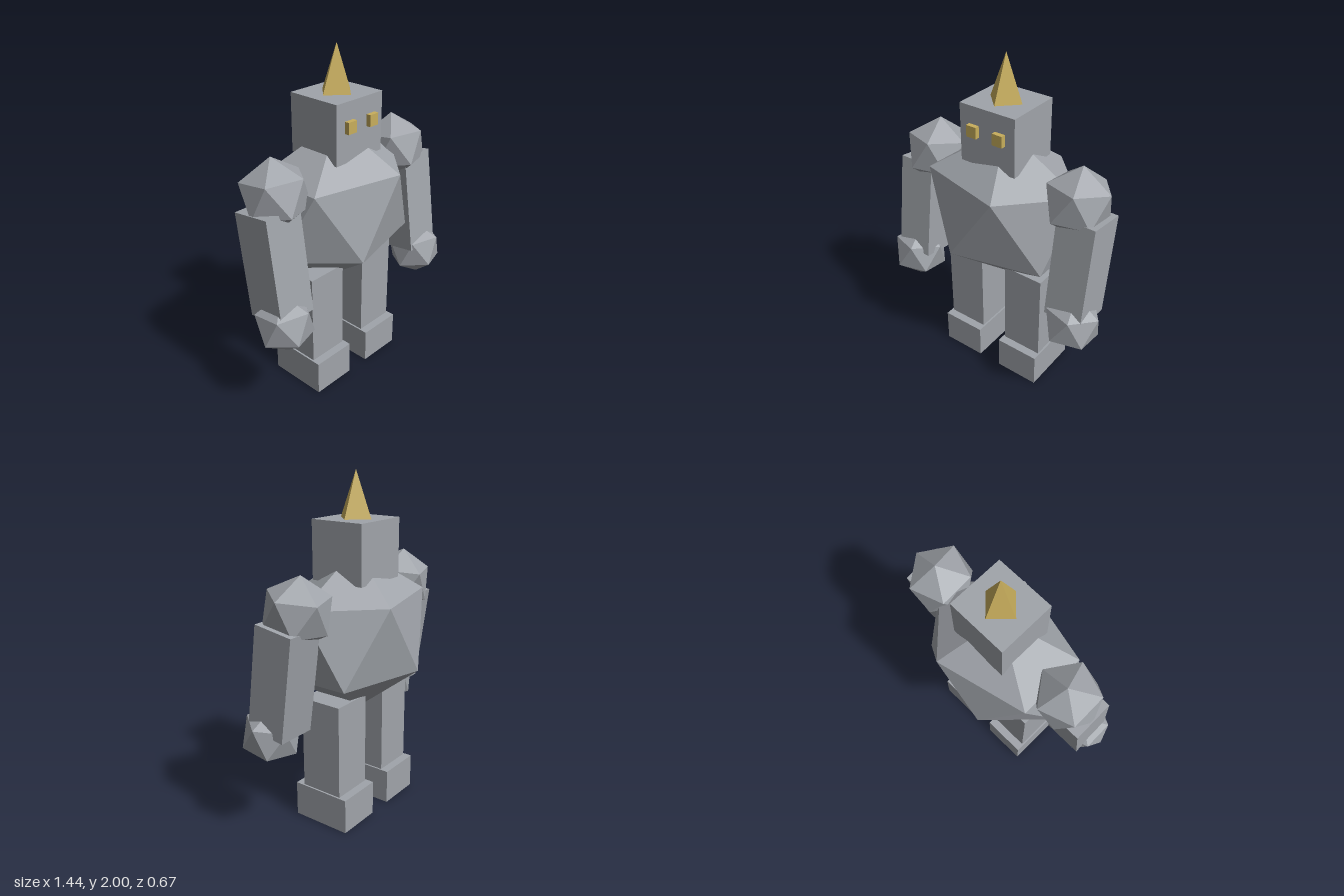
import * as THREE from 'three';

const stone = new THREE.MeshStandardMaterial({ color: 0xa0a4aa, flatShading: true });
stone.name = 'grey stone';
const gold = new THREE.MeshStandardMaterial({ color: 0xc8ae5c, flatShading: true });
gold.name = 'gold';

function add(parent, name, geometry, material, x, y, z) {
  const mesh = new THREE.Mesh(geometry, material);
  mesh.name = name;
  mesh.position.set(x, y, z);
  parent.add(mesh);
  return mesh;
}

const box = (w, h, d) => new THREE.BoxGeometry(w, h, d);

// Twenty-sided boulder standing on a vertex, with its own radius per axis
function boulder(rx, ry, rz) {
  const points = [0, ry, 0, 0, -ry, 0];
  for (const [start, level] of [[0, 1], [Math.PI / 5, -1]]) {
    for (let i = 0; i < 5; i++) {
      const a = start + (i * Math.PI * 2) / 5;
      points.push(Math.cos(a) * 0.8944 * rx, level * 0.4472 * ry, Math.sin(a) * 0.8944 * rz);
    }
  }
  const faces = [];
  for (let i = 0; i < 5; i++) {
    const j = (i + 1) % 5;
    const u = 2 + i, un = 2 + j, l = 7 + i, ln = 7 + j;
    faces.push(0, un, u, u, un, l, l, un, ln, 1, l, ln);
  }
  const indexed = new THREE.BufferGeometry();
  indexed.setAttribute('position', new THREE.Float32BufferAttribute(points, 3));
  indexed.setIndex(faces);
  const geometry = indexed.toNonIndexed();
  geometry.computeVertexNormals();
  return geometry;
}

export function createModel() {
  const model = new THREE.Group();
  model.name = 'stoneGolem';
  const cx = -0.002;

  // Body and head
  add(model, 'torso', boulder(0.53, 0.48, 0.395), stone, cx, 1.095, 0);
  add(model, 'head', box(0.353, 0.335, 0.335), stone, cx, 1.573, -0.001);
  add(model, 'horn', new THREE.ConeGeometry(0.104, 0.26, 4), gold, cx, 1.87, -0.001);

  for (const s of [1, -1]) {
    const side = s > 0 ? 'left' : 'right';
    add(model, side + 'Eye', box(0.063, 0.066, 0.05), gold, cx + s * 0.084, 1.606, 0.169);

    // Legs
    add(model, side + 'Leg', box(0.25, 0.556, 0.26), stone, cx + s * 0.21, 0.48, -0.002);
    add(model, side + 'Foot', box(0.271, 0.208, 0.361), stone, cx + s * 0.21, 0.104, -0.002);

    // Arm swung slightly forward, with shoulder and fist boulders
    const arm = new THREE.Group();
    arm.name = side + 'Arm';
    arm.position.set(s * 0.545, 0.95, 0.068);
    arm.rotation.x = -0.14;
    add(arm, side + 'ArmBlock', box(0.23, 0.6, 0.244), stone, 0, 0, 0);
    add(arm, side + 'Shoulder', boulder(0.2, 0.2, 0.2), stone, -s * 0.066, 0.362, 0);
    add(arm, side + 'Fist', boulder(0.173, 0.173, 0.173), stone, s * 0.022, -0.341, 0.035);
    model.add(arm);
  }
  return model;
}
